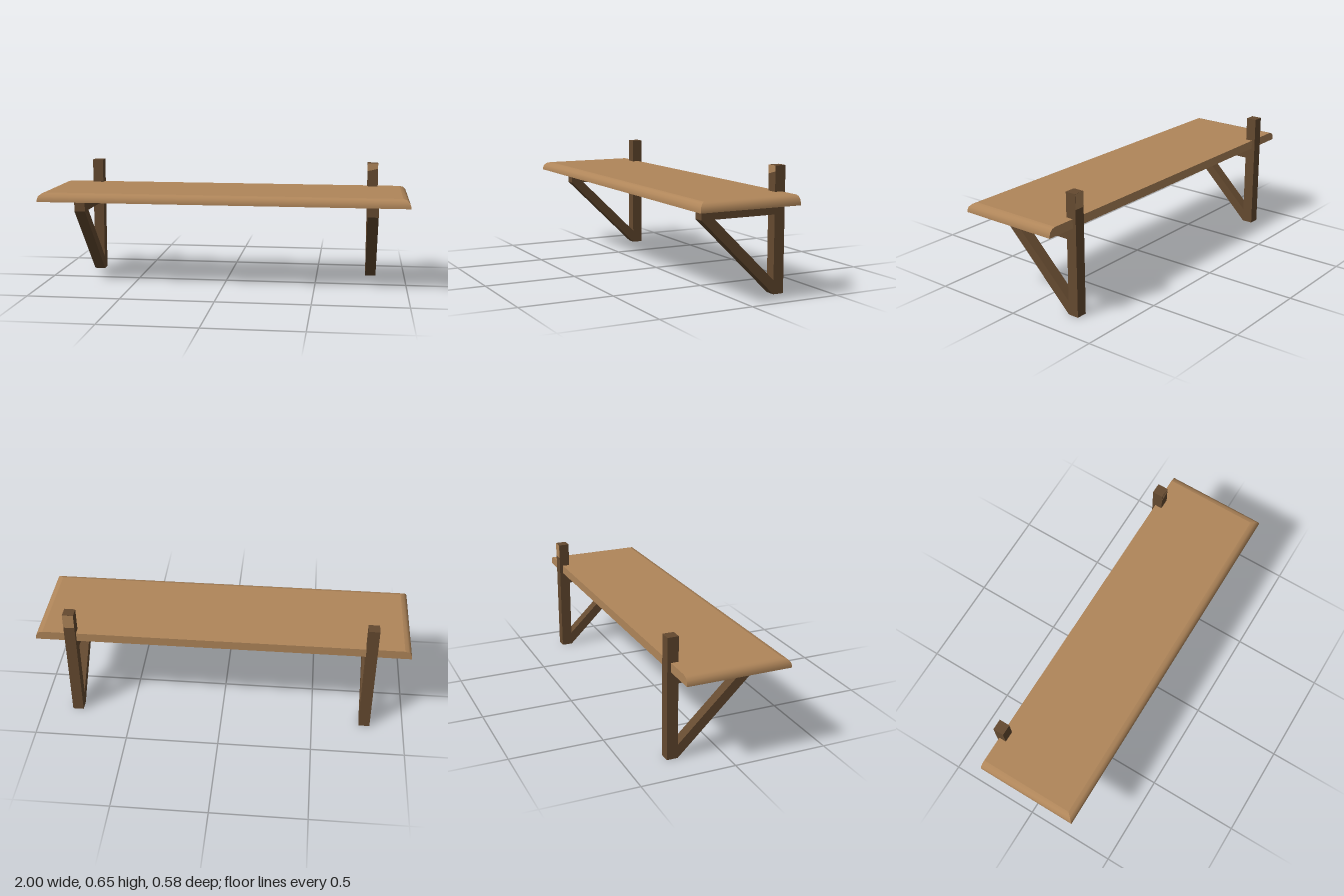
import * as THREE from 'three';
import { mergeGeometries } from 'three/addons/utils/BufferGeometryUtils.js';

const POST_BACK = -0.287, POST_FRONT = -0.228, WIDTH = 0.059;

// A strip of quads between matching rows of [start, end] corner points
function strip(rows) {
  const geo = new THREE.BufferGeometry();
  const index = [];
  for (let i = 0; i < rows.length - 1; i++) {
    const a = i * 2;
    index.push(a, a + 1, a + 3, a, a + 3, a + 2);
  }
  geo.setAttribute('position', new THREE.Float32BufferAttribute(rows.flat(2), 3));
  geo.setIndex(index);
  geo.computeVertexNormals();
  return geo;
}

// Shelf board: rounded top edge on the front and both ends, square at the back
function boardGeometry() {
  const back = -0.268, front = 0.288;
  const profile = [[0, 0.471], [0, 0.483], [0.005, 0.5], [0.019, 0.514], [0.039, 0.519]]; // inset, height
  const rows = (fn) => profile.map(([d, y]) => fn(1 - d, y, front - d));
  const frontSide = strip(rows((x, y, z) => [[-x, y, z], [x, y, z]]));
  const leftEnd = strip(rows((x, y, z) => [[x, y, z], [x, y, back]]));
  const rightEnd = strip(rows((x, y, z) => [[-x, y, back], [-x, y, z]]));
  const backSide = strip(rows((x, y) => [[x, y, back], [-x, y, back]]));
  const [inset, topY] = profile[profile.length - 1];
  const bottomY = profile[0][1], tx = 1 - inset;
  const top = strip([[[-tx, topY, front - inset], [tx, topY, front - inset]], [[-tx, topY, back], [tx, topY, back]]]);
  const bottom = strip([[[-1, bottomY, back], [1, bottomY, back]], [[-1, bottomY, front], [1, bottomY, front]]]);
  return mergeGeometries([frontSide, leftEnd, rightEnd, backSide, top, bottom]);
}

// Bracket: wall post, arm and diagonal brace cut from one side profile
function bracketGeometry() {
  const points = (list) => list.map(([z, y]) => new THREE.Vector2(z, y));
  const shape = new THREE.Shape(points([
    [POST_BACK, 0], [POST_FRONT, 0], [0.19, 0.407], [0.19, 0.471],
    [POST_FRONT, 0.471], [POST_FRONT, 0.65], [POST_BACK, 0.65],
  ]));
  shape.holes.push(new THREE.Path(points([[0.115, 0.406], [POST_FRONT, 0.406], [POST_FRONT, 0.073]])));
  const geo = new THREE.ExtrudeGeometry(shape, { depth: WIDTH, bevelEnabled: false });
  geo.translate(0, 0, -WIDTH / 2);
  geo.rotateY(-Math.PI / 2);
  return geo;
}

export function createModel() {
  const lightWood = new THREE.MeshStandardMaterial({ color: 0xb0865a });
  lightWood.name = 'light wood';
  const darkWood = new THREE.MeshStandardMaterial({ color: 0x654a30 });
  darkWood.name = 'dark wood';

  const model = new THREE.Group();
  model.name = 'wallShelf';
  const add = (geo, material, name) => {
    const mesh = new THREE.Mesh(geo, material);
    mesh.name = name;
    model.add(mesh);
    return mesh;
  };

  add(boardGeometry(), lightWood, 'shelfBoard');

  const bracket = bracketGeometry();
  const leftX = 0.808;
  add(bracket, darkWood, 'leftBracket').position.x = leftX;
  add(bracket, darkWood, 'rightBracket').position.x = -0.79;

  // Pale patches at the top of the left post, front and back
  const x0 = leftX - WIDTH / 2, x1 = leftX + WIDTH / 2;
  const zf = POST_FRONT + 0.001, zb = POST_BACK - 0.001;
  add(strip([[[x0, 0.605, zf], [x1, 0.62, zf]], [[x0, 0.65, zf], [x1, 0.65, zf]]]), lightWood, 'frontPatch');
  add(strip([[[x1, 0.57, zb], [x0, 0.57, zb]], [[x1, 0.65, zb], [x0, 0.65, zb]]]), lightWood, 'backPatch');

  return model;
}
